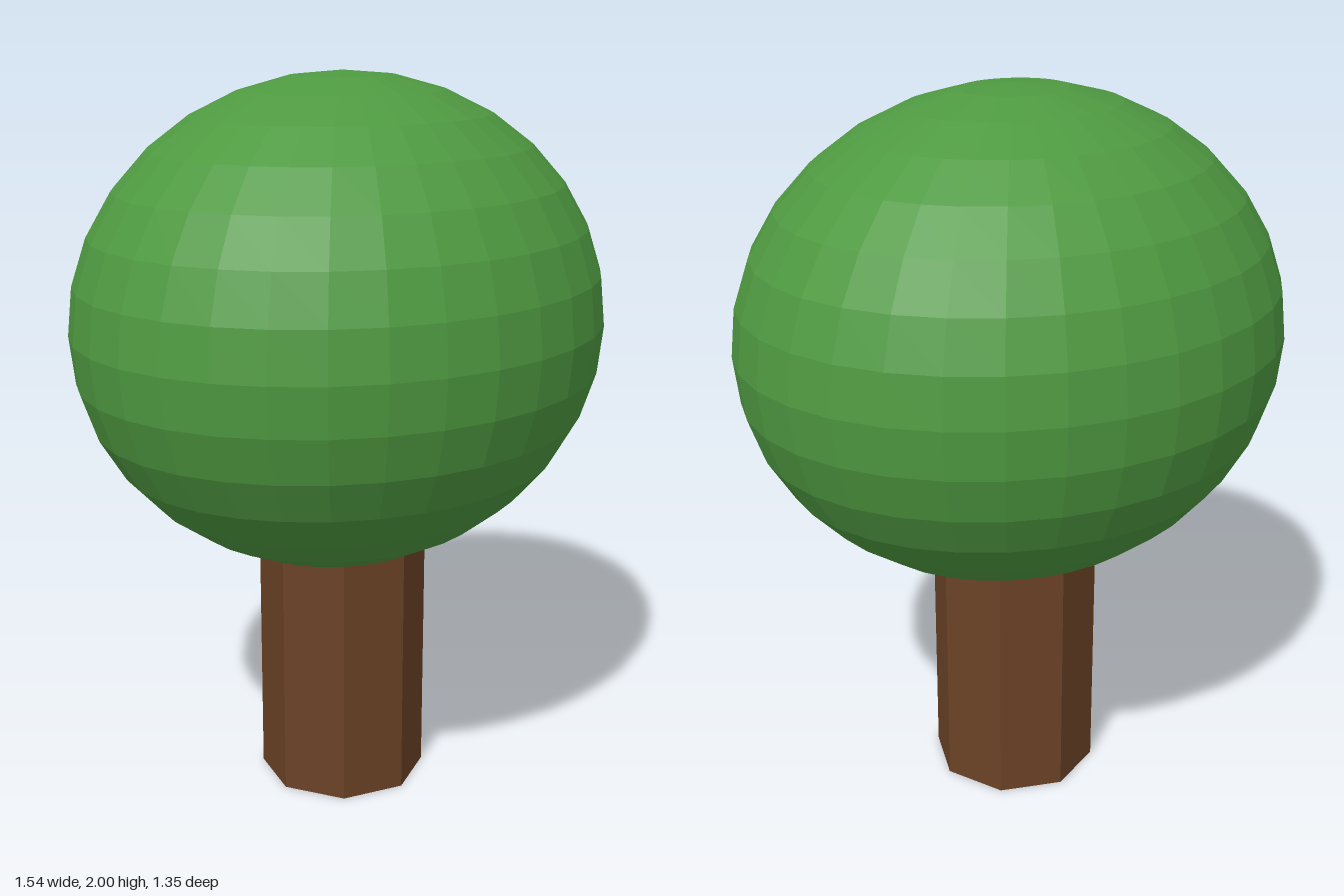
import * as THREE from 'three';

const TRUNK_RADIUS = 0.235;
const TRUNK_HEIGHT = 0.8;
const CANOPY_RADII = [0.77, 0.665, 0.675];

export function createModel() {
  const tree = new THREE.Group();
  tree.name = 'tree';

  // Octagonal trunk, its top sunk into the foliage
  const trunk = new THREE.Mesh(
    new THREE.CylinderGeometry(TRUNK_RADIUS, TRUNK_RADIUS, TRUNK_HEIGHT, 8),
    new THREE.MeshStandardMaterial({ color: 0x6b4226, flatShading: true })
  );
  trunk.name = 'trunk';
  trunk.position.y = TRUNK_HEIGHT / 2;
  tree.add(trunk);

  // Faceted ellipsoid of foliage, widest along x
  const canopy = new THREE.Mesh(
    new THREE.SphereGeometry(1, 32, 16).scale(...CANOPY_RADII),
    new THREE.MeshStandardMaterial({ color: 0x4f9a41, flatShading: true })
  );
  canopy.name = 'canopy';
  canopy.position.y = 2 - CANOPY_RADII[1];
  tree.add(canopy);

  return tree;
}
